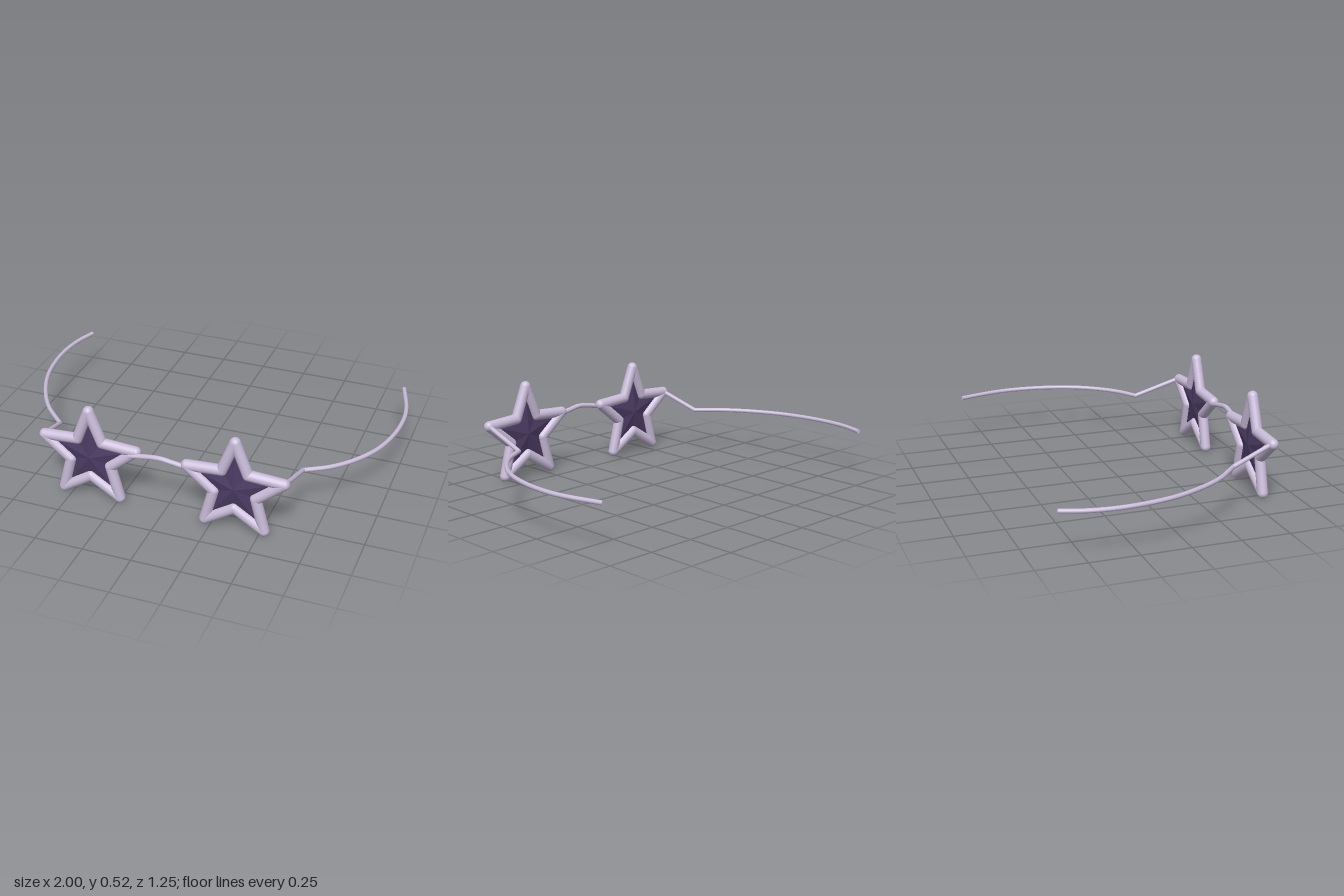
import * as THREE from 'three';

const frameMat = new THREE.MeshStandardMaterial({ color: 0xc9bcd9 });
const lensMat = new THREE.MeshStandardMaterial({ color: 0x4b3b63, flatShading: true });

const STAR_Y = 0.239, OUTER = 0.258, INNER = 0.112, RIM = 0.028, WIRE = 0.0115;
const v = (x, y, z) => new THREE.Vector3(x, y, z);

function add(parent, name, geometry, material = frameMat) {
  const mesh = new THREE.Mesh(geometry, material);
  mesh.name = name;
  parent.add(mesh);
  return mesh;
}

// Straight round bar between two points
function bar(parent, name, a, b, radius) {
  const dir = b.clone().sub(a);
  const mesh = add(parent, name, new THREE.CylinderGeometry(radius, radius, dir.length(), 20));
  mesh.position.copy(a).addScaledVector(dir, 0.5);
  mesh.quaternion.setFromUnitVectors(v(0, 1, 0), dir.normalize());
}

function ball(parent, name, p, radius) {
  add(parent, name, new THREE.SphereGeometry(radius, 20, 14)).position.copy(p);
}

// Curved wire with flat end caps
function wire(parent, name, points, radius) {
  const curve = new THREE.CatmullRomCurve3(points);
  add(parent, name, new THREE.TubeGeometry(curve, 48, radius, 12));
  for (const t of [0, 1]) {
    const cap = add(parent, name + 'End', new THREE.CircleGeometry(radius, 12));
    cap.position.copy(curve.getPoint(t));
    const out = curve.getTangent(t).multiplyScalar(t ? 1 : -1);
    cap.quaternion.setFromUnitVectors(v(0, 0, 1), out);
  }
}

function starPoints() {
  return Array.from({ length: 10 }, (_, i) => {
    const a = Math.PI / 2 + (i * Math.PI) / 5, r = i % 2 ? INNER : OUTER;
    return v(Math.cos(a) * r, Math.sin(a) * r, 0);
  });
}

// Thin faceted star, raised to a low peak on both faces
function lensGeometry(points, depth) {
  const pos = [];
  points.forEach((p, i) => {
    const q = points[(i + 1) % points.length];
    pos.push(0, 0, depth, ...p.toArray(), ...q.toArray());
    pos.push(0, 0, -depth, ...q.toArray(), ...p.toArray());
  });
  const g = new THREE.BufferGeometry();
  g.setAttribute('position', new THREE.Float32BufferAttribute(pos, 3));
  g.computeVertexNormals();
  return g;
}

function starEye(name, x, z) {
  const eye = new THREE.Group();
  eye.name = name;
  eye.position.set(x, STAR_Y, z);
  const pts = starPoints();
  pts.forEach((p, i) => {
    bar(eye, 'rimBar', p, pts[(i + 1) % 10], RIM);
    ball(eye, 'rimCorner', p, RIM);
  });
  add(eye, 'lens', lensGeometry(pts, 0.02), lensMat);
  return eye;
}

// Hinge arm dropping back from the rim, then a bowed temple at constant height
function temple(name, hinge, path) {
  const arm = new THREE.Group();
  arm.name = name;
  const pts = path.map(([x, z]) => v(x, 0.24, z));
  bar(arm, 'hingeArm', hinge, pts[0], WIRE);
  ball(arm, 'elbow', pts[0], WIRE);
  wire(arm, 'templeWire', pts, WIRE);
  return arm;
}

export function createModel() {
  const model = new THREE.Group();
  model.name = 'starGlasses';

  model.add(starEye('rightEye', -0.389, 0.578));
  model.add(starEye('leftEye', 0.373, 0.596));

  // Bridge arching between the inner star tips
  wire(model, 'bridge', [
    v(-0.17, 0.302, 0.598), v(-0.09, 0.318, 0.602), v(-0.01, 0.328, 0.606),
    v(0.06, 0.318, 0.604), v(0.13, 0.305, 0.6),
  ], 0.013);

  // Temples
  model.add(temple('rightTemple', v(-0.634, 0.318, 0.565), [
    [-0.668, 0.35], [-0.797, 0.22], [-0.888, 0.075], [-0.957, -0.1],
    [-0.988, -0.32], [-0.973, -0.49], [-0.932, -0.62],
  ]));
  model.add(temple('leftTemple', v(0.622, 0.318, 0.585), [
    [0.634, 0.332], [0.755, 0.255], [0.85, 0.155], [0.925, 0.03],
    [0.973, -0.13], [0.988, -0.3], [0.976, -0.42], [0.92, -0.62],
  ]));

  return model;
}
